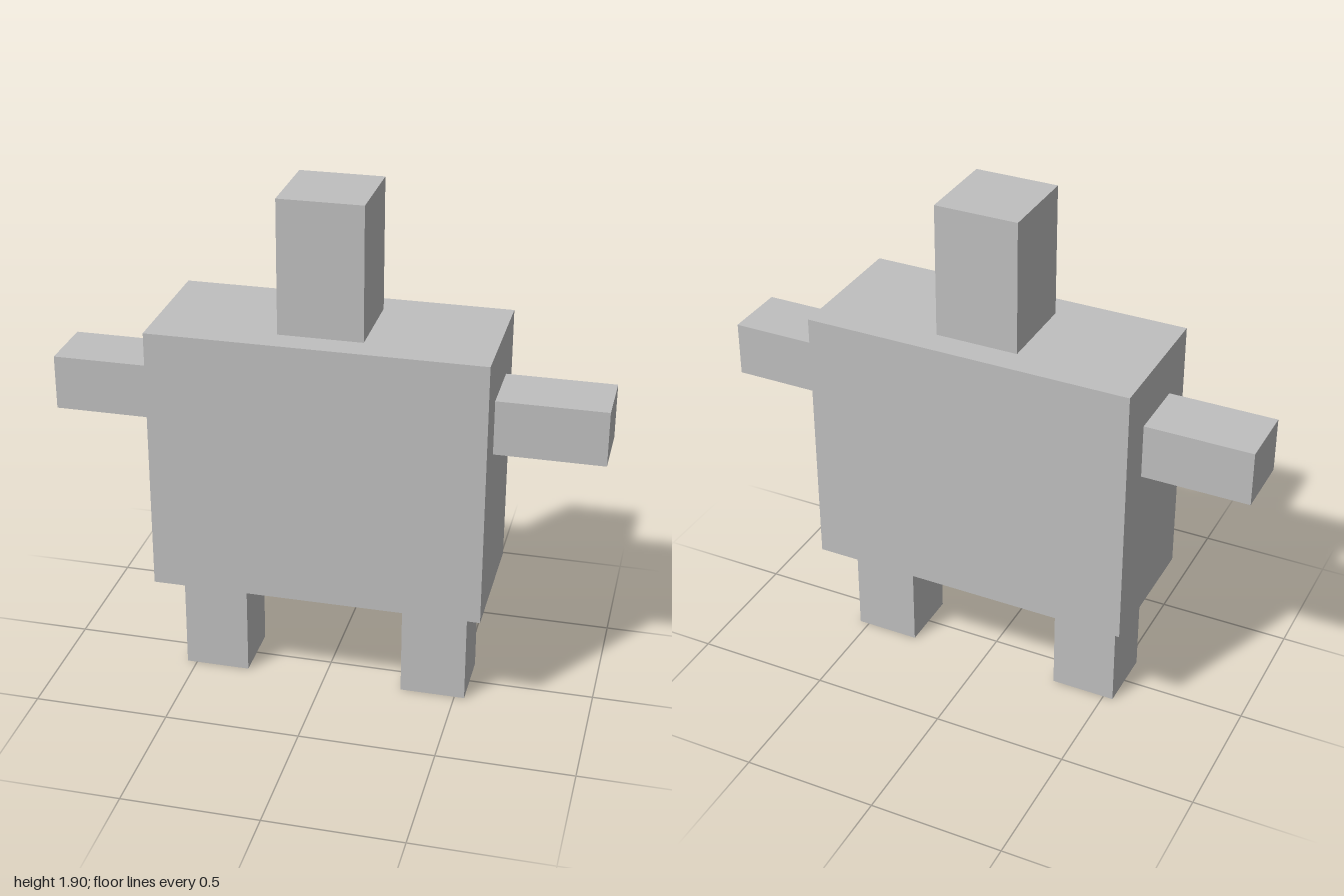
import * as THREE from 'three';

export function createModel() {
  const model = new THREE.Group();
  model.name = 'blockFigure';

  const grey = new THREE.MeshStandardMaterial({ color: 0xbfbfbf });
  grey.name = 'plain grey';

  // Box centred on z = 0, given by its x and y extents and its depth
  function addBlock(name, x0, x1, y0, y1, depth) {
    const mesh = new THREE.Mesh(new THREE.BoxGeometry(x1 - x0, y1 - y0, depth), grey);
    mesh.name = name;
    mesh.position.set((x0 + x1) / 2, (y0 + y1) / 2, 0);
    model.add(mesh);
  }

  // Torso and head
  addBlock('torso', -0.606, 0.606, 0.42, 1.41, 0.517);
  addBlock('head', -0.153, 0.153, 1.41, 1.9, 0.317);

  // Arms and legs, mirrored
  for (const [side, s] of [['left', 1], ['right', -1]]) {
    const mirrored = (a, b) => (s > 0 ? [a, b] : [-b, -a]);
    addBlock(side + 'Arm', ...mirrored(0.606, 1), 1.02, 1.223, 0.238);
    addBlock(side + 'Leg', ...mirrored(0.296, 0.537), 0, 0.42, 0.238);
  }

  return model;
}
